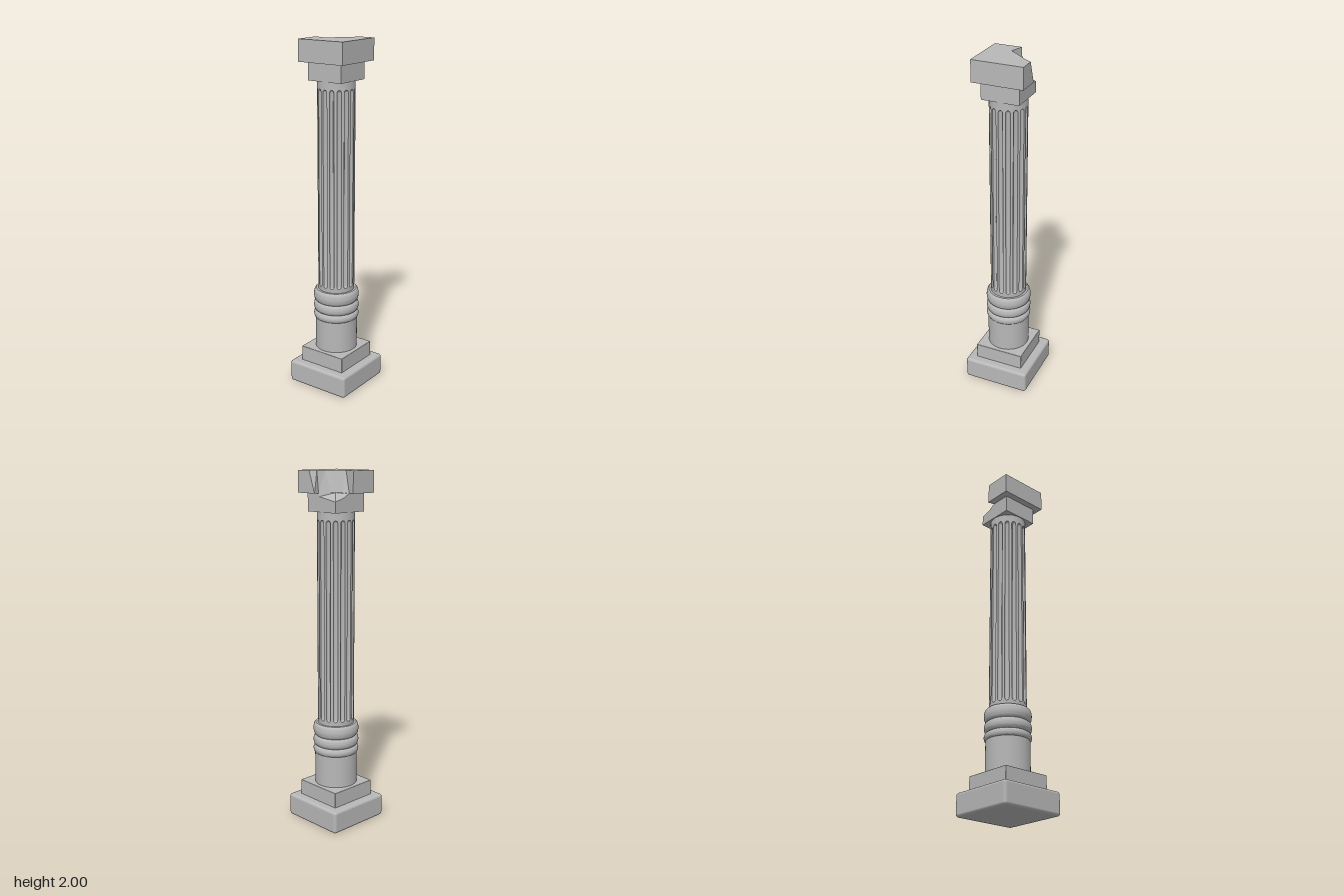
import * as THREE from 'three';
import { toCreasedNormals } from 'three/addons/utils/BufferGeometryUtils.js';
import { RoundedBoxGeometry } from 'three/addons/geometries/RoundedBoxGeometry.js';

// Solid between two rings of [x, y, z] points, counter-clockwise seen from above.
// With an apex the top is a fan around that point, otherwise a flat cap.
function loft(bottom, top, apex) {
  const pos = [];
  const tri = (a, b, c) => pos.push(...a, ...b, ...c);
  const cap = (ring) => THREE.ShapeUtils.triangulateShape(ring.map((p) => new THREE.Vector2(p[0], -p[2])), []);
  const n = top.length;
  for (let i = 0; i < n; i++) {
    const j = (i + 1) % n;
    tri(bottom[i], bottom[j], top[j]);
    tri(bottom[i], top[j], top[i]);
    if (apex) tri(top[i], top[j], apex);
  }
  if (!apex) for (const [a, b, c] of cap(top)) tri(top[a], top[b], top[c]);
  for (const [a, b, c] of cap(bottom)) tri(bottom[c], bottom[b], bottom[a]);
  const g = new THREE.BufferGeometry();
  g.setAttribute('position', new THREE.Float32BufferAttribute(pos, 3));
  g.computeVertexNormals();
  return g;
}

// Shaft with round-ended flutes cut into it
function flutedShaft(radius, y0, y1, flute0, flute1) {
  const flutes = 16, steps = 10, pitch = (Math.PI * 2) / flutes;
  const half = pitch * 0.31, depth = 0.013, round = 0.016;
  // rows from top to bottom: [height, flute opening 0..1]
  const ends = [0, 0.08, 0.25, 0.5, 1].map((t) => [t * round, Math.max(0.03, Math.sqrt(1 - (1 - t) ** 2))]);
  const rows = [
    [y1, 0.03],
    ...ends.map(([d, w]) => [flute1 - d, w]),
    ...ends.slice().reverse().map(([d, w]) => [flute0 + d, w]),
    [y0, 0.03],
  ];
  const count = flutes * steps;
  const g = new THREE.CylinderGeometry(radius, radius, 1, count, rows.length - 1, true);
  rows.forEach(([y, w], r) => {
    for (let i = 0; i <= count; i++) {
      const k = i % steps, s = Math.min(1, -1 + k / 4); // k 0..8 cross the flute, 9 lies on the land
      const cut = k <= 8 ? depth * w * Math.sqrt(1 - s * s) : 0;
      const angle = Math.floor(i / steps) * pitch + (k <= 8 ? s * half * w : pitch / 2);
      const rad = radius - (w > 0.03 ? cut : 0);
      g.attributes.position.setXYZ(r * (count + 1) + i, Math.sin(angle) * rad, y, Math.cos(angle) * rad);
    }
  });
  return toCreasedNormals(g, 0.6);
}

export function createModel() {
  const group = new THREE.Group();
  const stone = new THREE.MeshStandardMaterial({ color: 0xb8b8b8 });
  stone.name = 'grey stone';
  const add = (name, geometry, y = 0) => {
    const mesh = new THREE.Mesh(geometry, stone);
    mesh.name = name;
    mesh.position.y = y;
    group.add(mesh);
  };

  // Square foot and step
  add('plinth', new RoundedBoxGeometry(0.39, 0.13, 0.39, 4, 0.016), 0.065);
  add('step', new RoundedBoxGeometry(0.29, 0.1, 0.29, 2, 0.004), 0.168);

  // Round drum
  add('drum', new THREE.CylinderGeometry(0.121, 0.121, 0.19, 48), 0.31);

  // Three stacked rings, turned as one piece
  const profile = [[0.1, 0.395], [0.121, 0.395]];
  for (const [from, to] of [[0.4, 0.447], [0.447, 0.507], [0.507, 0.582]]) {
    for (let i = 0; i <= 10; i++) {
      const t = i / 10;
      profile.push([0.116 + 0.014 * Math.sqrt(Math.sin(Math.PI * t) + 1e-9), from + (to - from) * t]);
    }
  }
  profile.push([0.095, 0.582]);
  const rings = new THREE.LatheGeometry(profile.map(([x, y]) => new THREE.Vector2(x, y)), 48);
  add('rings', toCreasedNormals(rings, 0.7));

  // Fluted shaft
  add('shaft', flutedShaft(0.104, 0.57, 1.785, 0.605, 1.738));

  // Neck block, its back left corner chipped down
  const h = 0.108;
  const rim = [
    [-h, 1.88, h], [h, 1.88, h], [h, 1.88, 0.022], [h, 1.862, 0.016], [h, 1.84, -h],
    [0.045, 1.858, -h], [0.006, 1.88, -h], [-h, 1.88, -h],
  ];
  add('neckBlock', loft(rim.map(([x, , z]) => [x, 1.78, z]), rim, [0.065, 1.885, -0.065]));

  // Top slab with the back left corner broken away
  const a = 0.145;
  const slab = (y, edge) => [[-a, a], [a, a], ...edge, [-a, -a]].map(([x, z]) => [x, y, z]);
  const upper = slab(2, [[a, 0.055], [0.11, 0.032], [0.075, 0.005], [0.045, -0.022], [-0.012, -0.065], [0.01, -a]]);
  const lower = slab(1.88, [[a, 0.013], [h, 0.022], [0.075, -0.04], [0.03, -0.075], [0.006, -h], [0.016, -a]]);
  add('topSlab', loft(lower, upper));

  return group;
}
